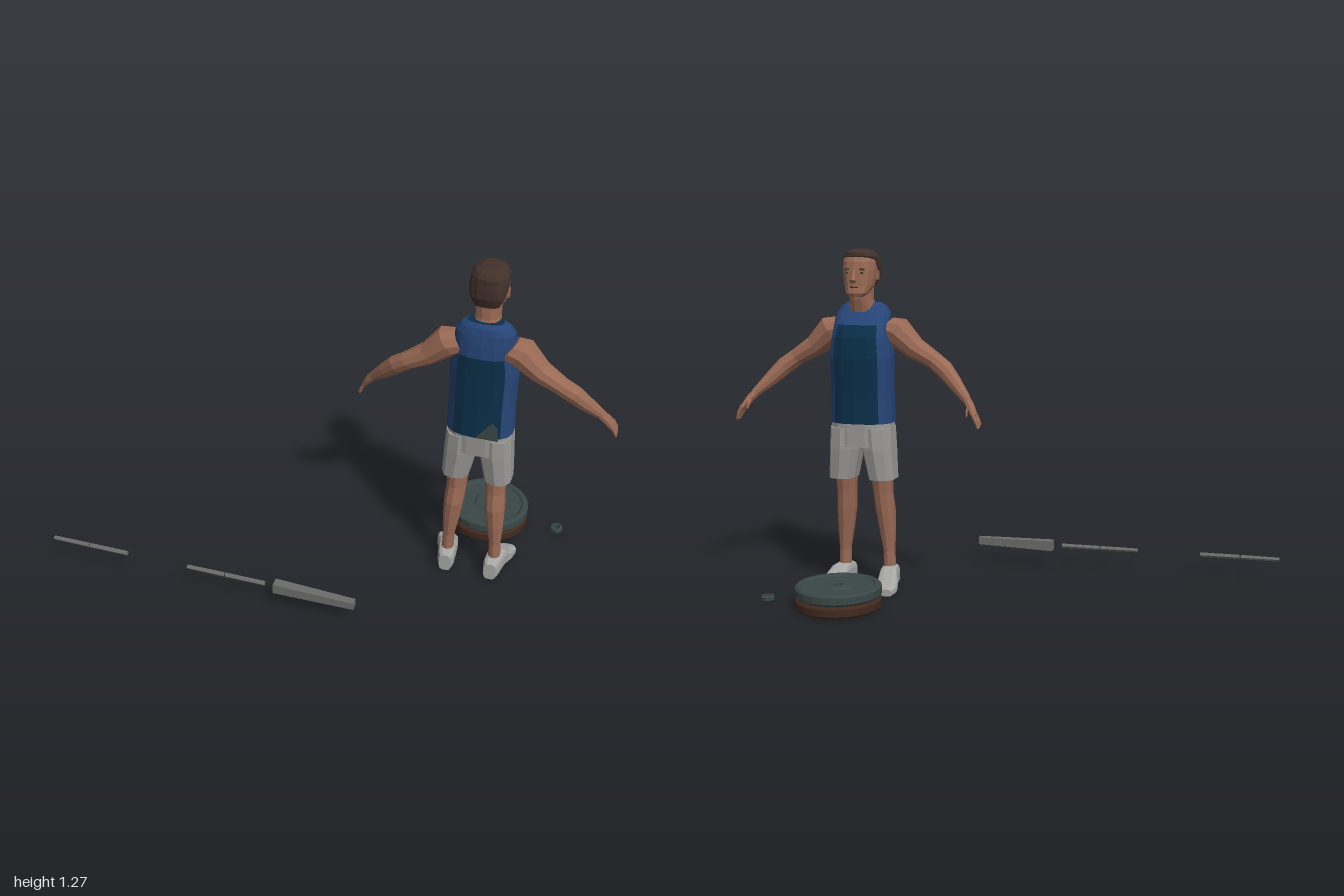
import * as THREE from 'three';

const mat = (name, color) => {
  const m = new THREE.MeshStandardMaterial({ color });
  m.name = name;
  return m;
};

const X = [1, 0, 0], Y = [0, 1, 0], Z = [0, 0, 1];

// Faceted skin over rings [x, y, z, halfU, halfV] lying in the plane of u and v.
// pick(row, angle) chooses a material index for each side face.
function loft(rings, { u = X, v = Z, n = 12, p = 2.3, pick = null } = {}) {
  const U = new THREE.Vector3(...u), V = new THREE.Vector3(...v);
  const centre = r => new THREE.Vector3(r[0], r[1], r[2]);
  const first = centre(rings[0]), last = centre(rings[rings.length - 1]);
  const flip = U.clone().cross(V).dot(last.clone().sub(first)) < 0;
  const soft = t => Math.sign(t) * Math.abs(t) ** (2 / p);
  const point = (i, j) => {
    const t = ((j + 0.5) / n) * Math.PI * 2, r = rings[i];
    return centre(r).addScaledVector(U, soft(Math.cos(t)) * r[3]).addScaledVector(V, soft(Math.sin(t)) * r[4]);
  };
  const buckets = [[], []];
  const tri = (k, a, b, c) => {
    for (const q of flip ? [a, c, b] : [a, b, c]) buckets[k].push(q.x, q.y, q.z);
  };
  const end = rings.length - 1;
  for (let j = 0; j < n; j++) {
    const mid = ((j + 1) / n) * Math.PI * 2;
    for (let i = 0; i < end; i++) {
      const k = pick ? pick(i, mid) : 0;
      const a = point(i, j), b = point(i, j + 1), c = point(i + 1, j + 1), d = point(i + 1, j);
      tri(k, a, b, c);
      tri(k, a, c, d);
    }
    tri(0, first, point(0, j + 1), point(0, j));
    tri(0, last, point(end, j), point(end, j + 1));
  }
  const g = new THREE.BufferGeometry();
  g.setAttribute('position', new THREE.Float32BufferAttribute(buckets.flat(), 3));
  if (pick) {
    g.addGroup(0, buckets[0].length / 3, 0);
    g.addGroup(buckets[0].length / 3, buckets[1].length / 3, 1);
  }
  g.computeVertexNormals();
  return g;
}

// Faceted turned solid
function turned(profile, sides) {
  const g = new THREE.LatheGeometry(profile.map(q => new THREE.Vector2(...q)), sides).toNonIndexed();
  g.computeVertexNormals();
  return g;
}

export function createModel() {
  const skin = mat('skin', 0x9a6a55), hair = mat('hair', 0x41312a), shorts = mat('shorts grey', 0x9b9a97);
  const shoe = mat('shoe grey', 0xa6a6a4), navy = mat('shirt navy', 0x0a2f49), blue = mat('shirt blue', 0x264577);
  const iron = mat('dark iron', 0x394746), rust = mat('brown iron', 0x40291f), steel = mat('bar steel', 0x6c6c6b);

  const model = new THREE.Group();
  const man = new THREE.Group();
  man.name = 'athlete';
  man.position.x = 0.524;
  model.add(man);
  const add = (parent, name, geo, material, x = 0, y = 0, z = 0) => {
    const m = new THREE.Mesh(geo, material);
    m.name = name;
    m.position.set(x, y, z);
    parent.add(m);
    return m;
  };

  // Sleeveless shirt: navy body, blue yoke and side panels
  add(man, 'shirt', loft([
    [0, 0.637, -0.015, 0.121, 0.09], [0, 0.75, -0.015, 0.118, 0.088], [0, 0.88, -0.018, 0.121, 0.091],
    [0, 0.955, -0.014, 0.112, 0.088], [0, 1.0, -0.003, 0.108, 0.075], [0, 1.04, 0.01, 0.103, 0.057],
    [0, 1.065, 0.015, 0.086, 0.046], [0, 1.08, 0.018, 0.062, 0.032],
  ], {
    n: 18, p: 2.5,
    pick: (i, t) => (Math.abs(Math.cos(t)) > 0.75 || i >= (Math.sin(t) > 0 ? 3 : 4) ? 1 : 0),
  }), [navy, blue]);

  // Small grey patch low on the back of the shirt
  const patch = new THREE.Shape([[-0.035, 0], [0.045, 0], [0.04, 0.05], [0.02, 0.068], [0, 0.045]].map(q => new THREE.Vector2(...q)));
  add(man, 'shirtPatch', new THREE.ExtrudeGeometry(patch, { depth: 0.006, bevelEnabled: false }), iron, 0.035, 0.638, 0.07);

  // Neck and head
  add(man, 'neck', loft([[0, 1.03, 0.005, 0.055, 0.045], [0, 1.09, -0.01, 0.044, 0.046], [0, 1.16, -0.015, 0.045, 0.05]]), skin);
  add(man, 'head', loft([
    [0, 1.103, -0.068, 0.026, 0.022], [0, 1.116, -0.056, 0.041, 0.04], [0, 1.14, -0.032, 0.053, 0.06],
    [0, 1.17, -0.024, 0.059, 0.067], [0, 1.2, -0.02, 0.062, 0.07], [0, 1.23, -0.018, 0.061, 0.068],
    [0, 1.25, -0.018, 0.054, 0.06],
  ], { n: 14 }), skin);
  add(man, 'hair', loft([
    [0, 1.14, 0.026, 0.043, 0.02], [0, 1.175, 0.026, 0.06, 0.034], [0, 1.205, 0.012, 0.066, 0.05],
    [0, 1.232, 0.004, 0.066, 0.057], [0, 1.248, -0.009, 0.064, 0.071], [0, 1.263, -0.013, 0.054, 0.066],
    [0, 1.274, -0.016, 0.03, 0.042],
  ], { n: 14 }), hair);
  add(man, 'nose', loft([[0, 1.155, -0.092, 0.014, 0.012], [0, 1.165, -0.097, 0.012, 0.016], [0, 1.2, -0.088, 0.006, 0.007]], { n: 6 }), skin);
  add(man, 'mouth', new THREE.BoxGeometry(0.03, 0.005, 0.008), rust, 0, 1.138, -0.0885);

  for (const s of [1, -1]) {
    const side = s > 0 ? 'left' : 'right';
    const mirror = rings => rings.map(([x, ...rest]) => [x * s, ...rest]);
    const part = (name, rings, material, opts) => add(man, side + name, loft(mirror(rings), opts), material);

    add(man, side + 'Ear', new THREE.BoxGeometry(0.01, 0.032, 0.018), skin, s * 0.062, 1.18, -0.012);
    const brow = add(man, side + 'Brow', new THREE.BoxGeometry(0.026, 0.006, 0.008), hair, s * 0.026, 1.203, -0.083);
    brow.rotation.y = s * 0.25;
    const eye = add(man, side + 'Eye', new THREE.BoxGeometry(0.014, 0.006, 0.006), hair, s * 0.026, 1.19, -0.083);
    eye.rotation.y = s * 0.25;

    // Arm, swept out and down with the forearm reaching forward
    const armAxes = { u: [0.62 * s, 0.78, 0], n: 10, p: 2 };
    part('Arm', [
      [0.085, 0.985, 0.012, 0.05, 0.05], [0.125, 0.975, 0.012, 0.057, 0.058], [0.195, 0.912, 0.012, 0.042, 0.045],
      [0.27, 0.868, 0.012, 0.033, 0.036], [0.315, 0.835, 0, 0.034, 0.034], [0.36, 0.79, -0.022, 0.028, 0.029],
      [0.415, 0.735, -0.055, 0.017, 0.02],
    ], skin, armAxes);
    part('Palm', [
      [0.41, 0.74, -0.052, 0.016, 0.02], [0.433, 0.712, -0.07, 0.015, 0.028], [0.452, 0.682, -0.086, 0.011, 0.03],
    ], skin, { ...armAxes, n: 8 });
    for (let f = 0; f < 4; f++) {
      const z = -0.066 - f * 0.014, drop = f === 0 ? 0.008 : 0;
      part('Finger' + f, [
        [0.448, 0.69, z, 0.008, 0.007], [0.463, 0.662, z - 0.003, 0.007, 0.006], [0.469, 0.64 + drop, z - 0.003, 0.004, 0.004],
      ], skin, { ...armAxes, n: 6 });
    }
    part('Thumb', [
      [0.425, 0.722, -0.075, 0.009, 0.009], [0.424, 0.705, -0.096, 0.008, 0.007], [0.427, 0.682, -0.108, 0.004, 0.004],
    ], skin, { ...armAxes, n: 6 });

    // Shorts leg, bare leg and shoe
    part('ShortsLeg', [
      [0.06, 0.62, -0.018, 0.059, 0.082], [0.064, 0.54, -0.02, 0.06, 0.08], [0.078, 0.425, -0.021, 0.051, 0.068],
    ], shorts, { n: 10, p: 2.6 });
    part('Leg', [
      [0.07, 0.45, -0.017, 0.042, 0.05], [0.072, 0.37, -0.01, 0.037, 0.043], [0.077, 0.3, 0, 0.037, 0.045],
      [0.083, 0.22, 0.004, 0.031, 0.036], [0.088, 0.14, 0.005, 0.022, 0.027], [0.09, 0.06, 0.005, 0.023, 0.027],
    ], skin, { n: 10, p: 2 });
    const shoeRings = [
      [0.086, 0.06, 0.07, 0.023], [0.088, 0.035, 0.08, 0.032], [0.092, 0, 0.085, 0.034], [0.097, -0.035, 0.082, 0.036],
      [0.106, -0.07, 0.055, 0.041], [0.114, -0.11, 0.043, 0.04], [0.118, -0.138, 0.026, 0.026],
    ].map(([x, z, h, a]) => [x, h / 2 + 0.001, z, a, h / 2]);
    part('Shoe', shoeRings, [shoe, iron], { v: Y, n: 12, p: 3.5, pick: (i, t) => (Math.sin(t) < -0.8 ? 1 : 0) });
  }
  add(man, 'shortsSeat', loft([[0, 0.55, -0.019, 0.121, 0.08], [0, 0.645, -0.016, 0.117, 0.084]], { n: 16, p: 2.6 }), shorts);

  // Stacked weight plates with six-sided hubs
  const plate = turned([
    [0.06, 0.007], [0.128, 0.007], [0.136, 0], [0.15, 0], [0.157, 0.007], [0.157, 0.033],
    [0.15, 0.04], [0.136, 0.04], [0.128, 0.033], [0.03, 0.033],
  ], 24);
  const hub = turned([[0.018, 0.001], [0.052, 0.001], [0.065, 0.008], [0.065, 0.032], [0.052, 0.039], [0.018, 0.039], [0.018, 0.001]], 6);
  [['lower', rust, 0.003], ['upper', iron, 0.047]].forEach(([name, material, y]) => {
    add(model, name + 'Plate', plate, material, 0.524, y, -0.303);
    add(model, name + 'PlateHub', hub, material, 0.524, y, -0.303);
  });

  // Loose collar on the floor
  add(model, 'collar', turned([[0.014, 0], [0.022, 0], [0.025, 0.004], [0.025, 0.016], [0.022, 0.02], [0.014, 0.02], [0.014, 0]], 8), iron, 0.8, 0.005, -0.303);

  // Bar pieces: two slim rods, each in two lengths, and a tapered grip
  for (const x of [-1, -0.45]) {
    [[0, 0.147], [0.152, 0.153]].forEach(([start, len], k) => {
      const g = new THREE.CylinderGeometry(0.009, k ? 0.009 : 0.008, len, 6).rotateZ(-Math.PI / 2).toNonIndexed();
      g.computeVertexNormals();
      add(model, 'rod', g, steel, x + start + len / 2, 0.086, 0.434);
    });
    add(model, 'rodJoint', new THREE.BoxGeometry(0.012, 0.009, 0.009), iron, x + 0.15, 0.086, 0.434);
  }
  add(model, 'taperedBar', loft([[-0.107, 0.085, 0.434, 0.028, 0.026], [0.2, 0.086, 0.441, 0.02, 0.02]], { u: Y, n: 4, p: 2 }), steel);

  return model;
}
